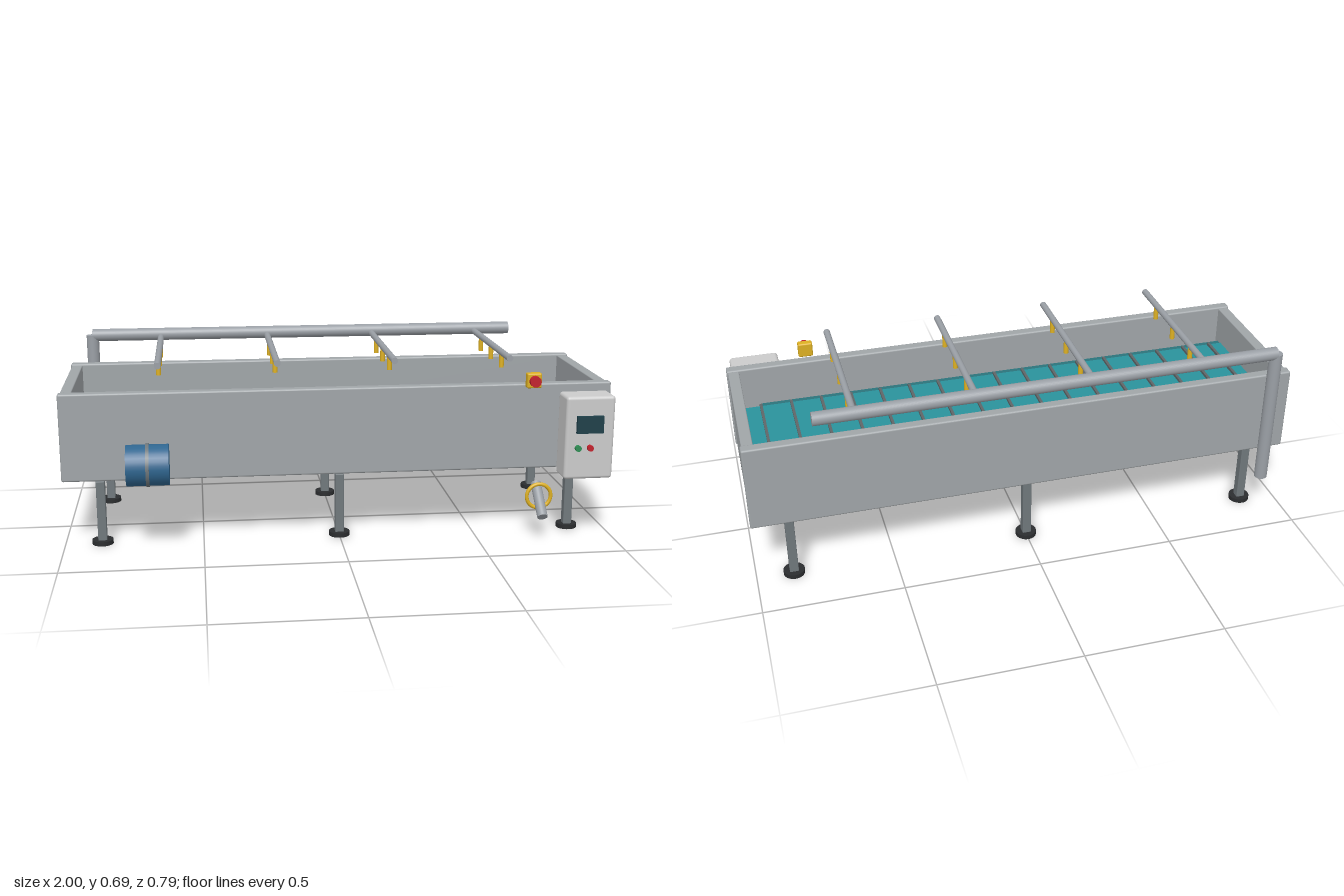
import * as THREE from 'three';
import { RoundedBoxGeometry } from 'three/addons/geometries/RoundedBoxGeometry.js';

const mat = (color) => new THREE.MeshStandardMaterial({ color });

export function createModel() {
  const root = new THREE.Group();
  const steel = mat(0xa0a5a8), pipe = mat(0x9a9fa5), legGrey = mat(0x70787c), black = mat(0x2b2d2f);
  const under = mat(0x5c6266), teal = mat(0x2a929c), darkTeal = mat(0x2b737b), slatGrey = mat(0x5f6668);
  const blue = mat(0x2f6690), yellow = mat(0xddb022), red = mat(0xc3202c), green = mat(0x2f8f55);
  const cabinetGrey = mat(0xc6cac9), glass = mat(0x1d3f49);

  const add = (name, geometry, material, x, y, z) => {
    const mesh = new THREE.Mesh(geometry, material);
    mesh.name = name;
    mesh.position.set(x, y, z);
    root.add(mesh);
    return mesh;
  };
  // Boxes are given by their extents on each axis; r rounds the edges
  const box = (name, m, [x0, x1], [y0, y1], [z0, z1], r = 0) => {
    const s = [x1 - x0, y1 - y0, z1 - z0];
    const g = r ? new RoundedBoxGeometry(...s, 3, r) : new THREE.BoxGeometry(...s);
    return add(name, g, m, (x0 + x1) / 2, (y0 + y1) / 2, (z0 + z1) / 2);
  };
  // Cylinder between two points
  const rod = (name, m, a, b, r) => {
    const p = new THREE.Vector3(...a), q = new THREE.Vector3(...b);
    const d = q.clone().sub(p), c = p.clone().add(q).multiplyScalar(0.5);
    const mesh = add(name, new THREE.CylinderGeometry(r, r, d.length(), 32), m, c.x, c.y, c.z);
    mesh.quaternion.setFromUnitVectors(new THREE.Vector3(0, 1, 0), d.normalize());
    return mesh;
  };

  // Open tank
  box('frontWall', steel, [-1, 1], [0.245, 0.565], [0.205, 0.245], 0.007);
  box('backWall', steel, [-1, 1], [0.245, 0.565], [-0.345, -0.305], 0.007);
  for (const s of [-1, 1]) {
    const xs = [s * 0.975 - 0.02, s * 0.975 + 0.02];
    box('endWall', steel, xs, [0.25, 0.56], [-0.307, 0.207], 0.004);
  }
  box('tankFloor', under, [-0.995, 0.995], [0.237, 0.255], [-0.31, 0.21], 0.004);

  // Conveyor belt with cross slats
  box('beltBed', darkTeal, [-0.955, 0.89], [0.39, 0.425], [-0.285, 0.184]);
  box('belt', teal, [-0.955, 0.955], [0.4, 0.43], [-0.262, 0.157]);
  for (let i = 0; i < 17; i++) {
    const x = -0.9 + i * 0.112;
    box('beltSlat', slatGrey, [x - 0.005, x + 0.005], [0.425, 0.44], [-0.262, 0.157]);
  }

  // Legs and feet
  for (const x of [-0.866, 0, 0.866]) {
    for (const z of [-0.309, 0.207]) {
      box('leg', legGrey, [x - 0.016, x + 0.016], [0.012, 0.238], [z - 0.016, z + 0.016], 0.003);
      rod('foot', black, [x, 0, z], [x, 0.016, z], 0.038);
    }
  }

  // Water supply pipe, spray bars and nozzles
  rod('supplyRiser', pipe, [-0.915, 0.135, -0.37], [-0.915, 0.668, -0.37], 0.024);
  rod('supplyPipe', pipe, [-0.915, 0.668, -0.37], [0.76, 0.668, -0.37], 0.024);
  for (let i = 0; i < 4; i++) {
    const x = -0.647 + i * 0.4215;
    rod('sprayBar', pipe, [x, 0.659, -0.35], [x, 0.659, 0.242], 0.012);
    for (const z of [-0.22, -0.05, 0.118]) rod('nozzle', yellow, [x, 0.602, z], [x, 0.65, z], 0.009);
  }

  // Drive motor with clamp band
  rod('motor', blue, [-0.765, 0.322, 0.32], [-0.615, 0.322, 0.32], 0.073);
  rod('motorBand', legGrey, [-0.696, 0.322, 0.32], [-0.684, 0.322, 0.32], 0.077);

  // Control cabinet
  box('controlCabinet', cabinetGrey, [0.8, 0.98], [0.232, 0.538], [0.26, 0.365], 0.012);
  box('screen', glass, [0.838, 0.936], [0.405, 0.468], [0.36, 0.377]);
  rod('greenButton', green, [0.846, 0.35, 0.36], [0.846, 0.35, 0.38], 0.011);
  rod('redButton', red, [0.891, 0.35, 0.36], [0.891, 0.35, 0.38], 0.011);

  // Emergency stop
  box('stopHousing', yellow, [0.673, 0.727], [0.556, 0.611], [0.258, 0.288], 0.006);
  rod('stopButton', red, [0.7, 0.583, 0.28], [0.7, 0.583, 0.307], 0.02);

  // Drain pipe and valve wheel
  rod('drainPipe', pipe, [0.73, 0.188, 0.249], [0.73, 0.09, 0.356], 0.019);
  add('valveWheel', new THREE.TorusGeometry(0.045, 0.007, 12, 40), yellow, 0.73, 0.152, 0.295);

  return root;
}
